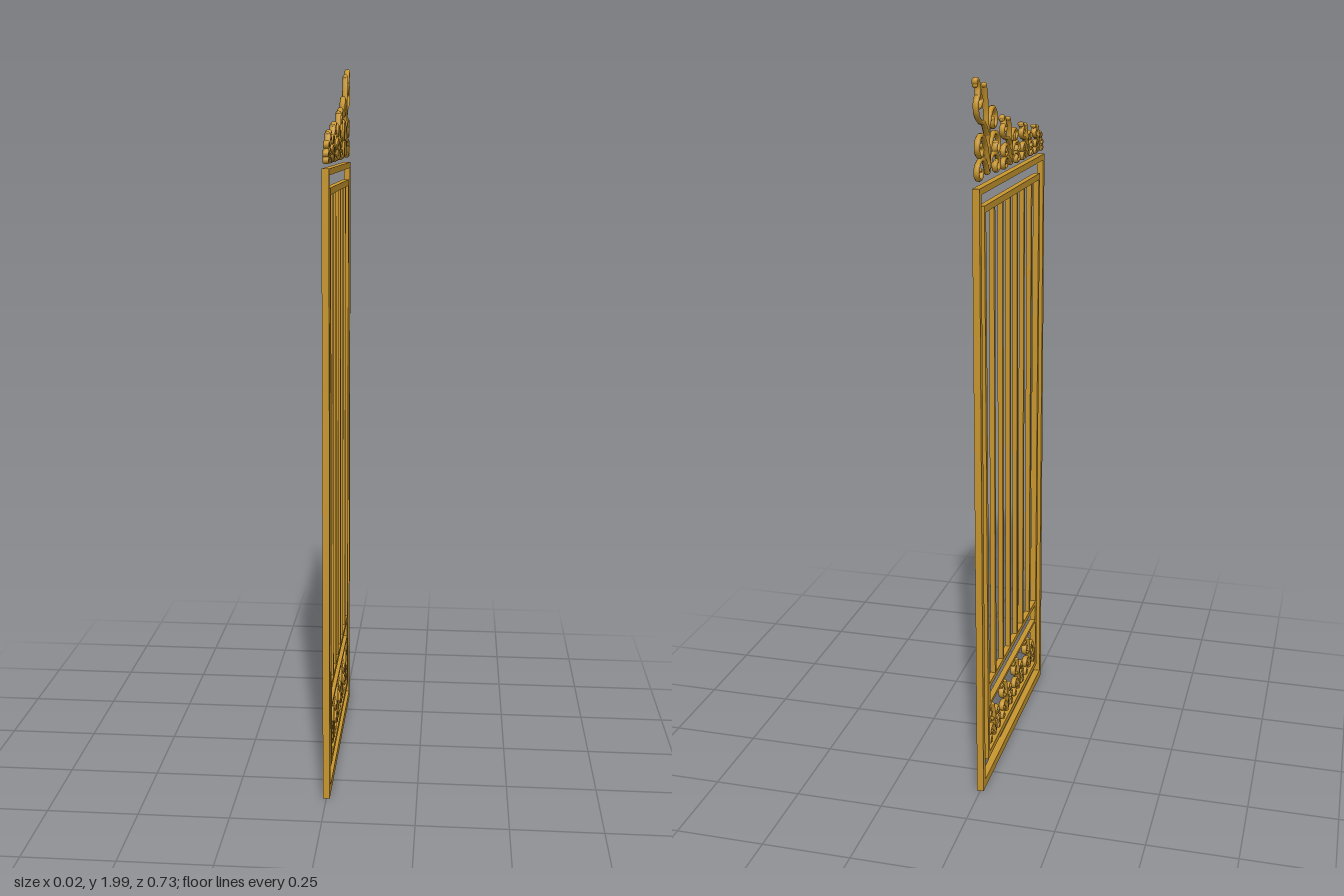
import * as THREE from 'three';

// The gate is drawn in a local plane (x across, y up) and turned to face sideways at the end.
const gold = new THREE.MeshStandardMaterial({ color: 0xc8962e });
gold.name = 'gold';
gold.flatShading = false;

const DEPTH = 0.019;

// Curves of one scroll ornament, inside a unit square
const SCROLLS = [
  [[.52, .03], [.51, .3], [.55, .5], [.56, .65], [.6, .8], [.64, .9]],
  [[.52, .2], [.5, .45], [.42, .6], [.28, .66], [.18, .58], [.22, .47], [.32, .48], [.31, .55]],
  [[.51, .1], [.44, .28], [.28, .4], [.1, .38], [.04, .28], [.12, .2], [.2, .25], [.15, .3]],
  [[.51, .04], [.38, .18], [.2, .2], [.06, .14], [.06, .04], [.17, .02], [.2, .09], [.13, .11]],
  [[.52, .04], [.64, .17], [.8, .2], [.94, .14], [.94, .04], [.82, .02], [.78, .09], [.86, .11]],
  [[.52, .16], [.62, .34], [.76, .43], [.9, .4], [.93, .29], [.83, .23], [.76, .29], [.82, .34]],
  [[.54, .42], [.66, .53], [.82, .57], [.94, .64], [.96, .76], [.86, .83], [.78, .76], [.85, .71]],
  [[.9, .8], [.88, .9], [.94, .97], [1, .97], [.99, .92]],
];

// Rectangular or slightly skewed frame with an opening
function frame(name, outer, inner, depth) {
  const pts = (q) => q.map(([x, y]) => new THREE.Vector2(x, y));
  const shape = new THREE.Shape(pts(outer));
  shape.holes.push(new THREE.Path(pts(inner)));
  const geo = new THREE.ExtrudeGeometry(shape, { depth, bevelEnabled: false });
  geo.translate(0, 0, -depth / 2);
  const mesh = new THREE.Mesh(geo, gold);
  mesh.name = name;
  return mesh;
}

// Straight upright between two points
function bar(name, x0, y0, x1, y1, width, depth) {
  const length = Math.hypot(x1 - x0, y1 - y0);
  const mesh = new THREE.Mesh(new THREE.BoxGeometry(width, length, depth), gold);
  mesh.position.set((x0 + x1) / 2, (y0 + y1) / 2, 0);
  mesh.rotation.z = Math.atan2(x0 - x1, y1 - y0);
  mesh.name = name;
  return mesh;
}

// Scroll ornament stretched to fill a box
function ornament(name, x0, x1, y0, y1, r) {
  const group = new THREE.Group();
  group.name = name;
  const w = x1 - x0 - 2 * r, h = y1 - y0 - 2 * r;
  const depth = 0.008;
  for (const points of SCROLLS) {
    const path = points.map(([u, v]) => new THREE.Vector3(x0 + r + u * w, y0 + r + v * h, 0));
    const curve = new THREE.CatmullRomCurve3(path);
    const segments = 24, sides = 6;
    const geo = new THREE.TubeGeometry(curve, segments, r, sides);
    // Taper each ring towards the curl and deepen it to the gate's thickness
    const pos = geo.attributes.position;
    for (let i = 0; i < pos.count; i++) {
      const t = Math.floor(i / (sides + 1)) / segments;
      const c = curve.getPointAt(t), k = 1.1 - 0.4 * t;
      pos.setXYZ(i,
        c.x + (pos.getX(i) - c.x) * k,
        c.y + (pos.getY(i) - c.y) * k,
        pos.getZ(i) * depth / r);
    }
    geo.computeVertexNormals();
    const scroll = new THREE.Mesh(geo, gold);
    scroll.name = 'scroll';
    // Small knob closing the curl
    const knob = new THREE.Mesh(new THREE.SphereGeometry(r, 8, 6), gold);
    knob.name = 'scrollKnob';
    knob.scale.z = depth / r;
    knob.position.copy(path[path.length - 1]);
    group.add(scroll, knob);
  }
  return group;
}

export function createModel() {
  const gate = new THREE.Group();
  gate.name = 'gate';

  // Outer and inner frames
  gate.add(frame('outerFrame',
    [[-0.365, 0], [0.357, 0], [0.357, 1.72], [-0.365, 1.72]],
    [[-0.343, 0.026], [0.335, 0.026], [0.339, 1.703], [-0.349, 1.703]], DEPTH));
  gate.add(frame('innerFrame',
    [[-0.304, 0.069], [0.297, 0.069], [0.307, 1.67], [-0.313, 1.67]],
    [[-0.286, 0.087], [0.28, 0.087], [0.291, 1.652], [-0.297, 1.652]], DEPTH * 0.9));

  // Narrow open band above the lower panel
  gate.add(frame('middleRail',
    [[-0.29, 0.23], [0.284, 0.23], [0.284, 0.304], [-0.29, 0.304]],
    [[-0.281, 0.24], [0.272, 0.24], [0.272, 0.289], [-0.281, 0.289]], DEPTH * 0.85));

  // Uprights: top and bottom x
  const uprights = [[-0.216, -0.212], [-0.127, -0.125], [-0.046, -0.051],
    [0.032, 0.034], [0.114, 0.118], [0.201, 0.206]];
  for (const [top, bottom] of uprights)
    gate.add(bar('upright', bottom, 0.295, top, 1.66, 0.013, 0.014));

  // Lower panel ornaments
  for (let i = 0; i < 4; i++) {
    const x = -0.291 + i * 0.1435;
    gate.add(ornament('panelOrnament', x, x + 0.134, 0.093, 0.226, 0.0046));
  }

  // Cresting that grows towards one side
  const crest = [[-0.365, -0.255, 1.82, 0.0045], [-0.245, -0.102, 1.842, 0.005],
    [-0.09, 0.108, 1.882, 0.006], [0.12, 0.365, 2, 0.007]];
  for (const [x0, x1, top, r] of crest)
    gate.add(ornament('crestOrnament', x0, x1, 1.728, top, r));

  gate.rotation.y = Math.PI / 2;
  const model = new THREE.Group();
  model.name = 'gateModel';
  model.add(gate);
  return model;
}
